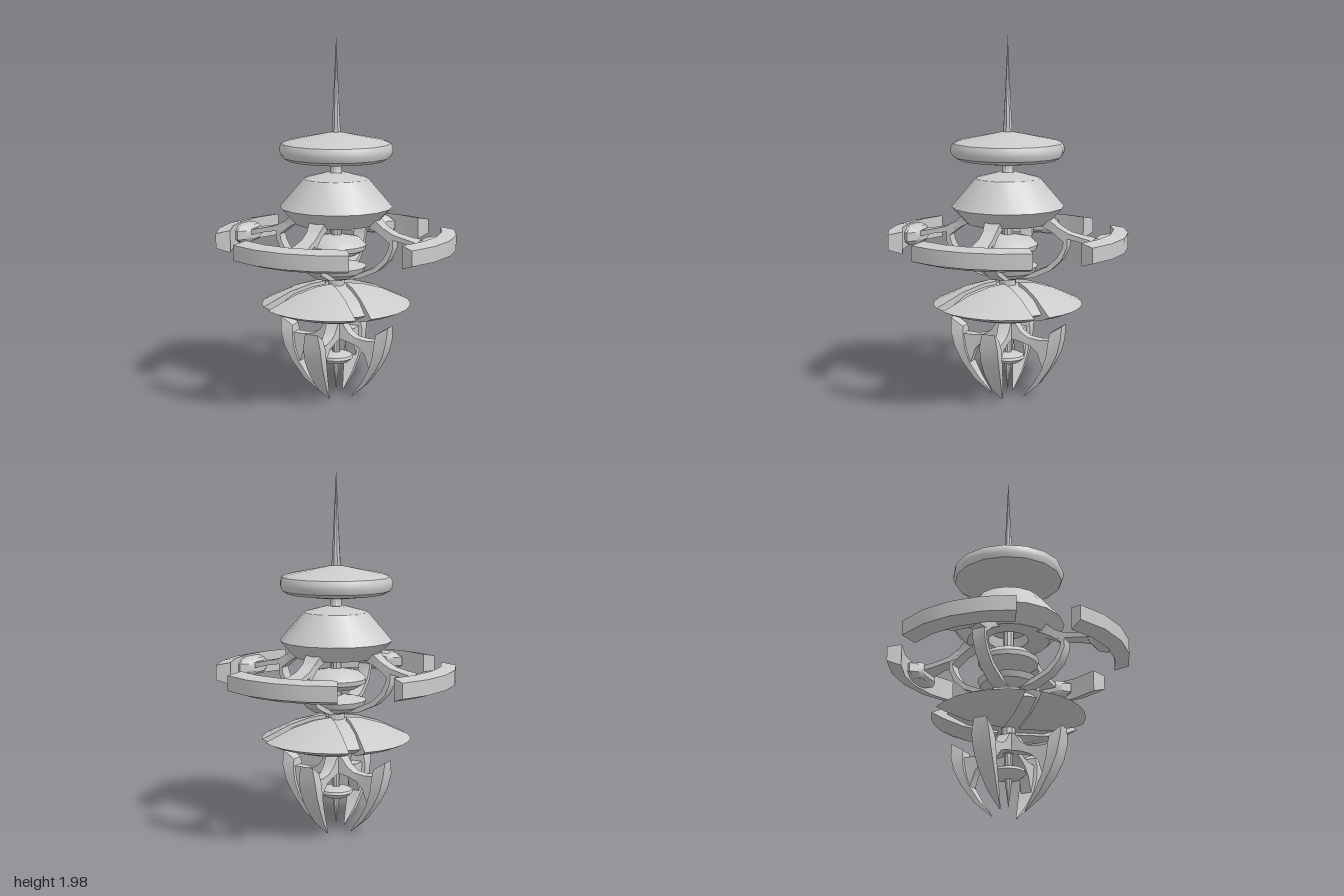
import * as THREE from 'three';
import { toCreasedNormals } from 'three/addons/utils/BufferGeometryUtils.js';

const material = new THREE.MeshStandardMaterial({ color: 0xcccccc, side: THREE.DoubleSide });

function addMesh(parent, name, geometry, crease = 0.5) {
  const mesh = new THREE.Mesh(toCreasedNormals(geometry, crease), material);
  mesh.name = name;
  parent.add(mesh);
  return mesh;
}

// Turned part; profile runs bottom to top as [radius, height]
function turned(parent, name, profile, sides = 16, crease = 0.5) {
  const points = profile.map(([r, y]) => new THREE.Vector2(r, y));
  return addMesh(parent, name, new THREE.LatheGeometry(points, sides), crease);
}

// Solid skinned through closed rings of [x, y, z], capped at both ends
function loft(rings) {
  const n = rings[0].length, pos = rings.flat(2), index = [];
  rings.slice(1).forEach((_, k) => {
    for (let i = 0; i < n; i++) {
      const a = k * n + i, b = k * n + (i + 1) % n;
      index.push(a, b, b + n, a, b + n, a + n);
    }
  });
  const last = (rings.length - 1) * n;
  for (let i = 1; i < n - 1; i++) {
    index.push(0, i + 1, i, last, last + i, last + i + 1);
  }
  // Flip the winding if the solid is inside out
  const v = (i) => new THREE.Vector3().fromArray(pos, i * 3);
  let volume = 0;
  for (let i = 0; i < index.length; i += 3) {
    volume += v(index[i]).dot(v(index[i + 1]).cross(v(index[i + 2])));
  }
  if (volume < 0) index.reverse();
  const g = new THREE.BufferGeometry();
  g.setAttribute('position', new THREE.Float32BufferAttribute(pos, 3));
  g.setIndex(index);
  g.computeVertexNormals();
  return g;
}

// Beam in the x-y plane; stations are [outerX, outerY, innerX, innerY, halfWidth]
const beam = (stations) => loft(stations.map(([ox, oy, ix, iy, w]) =>
  [[ox, oy, -w], [ox, oy, w], [ix, iy, w], [ix, iy, -w]]));

// Profile of [radius, height] swept around y, with a half angle for each radius
const sweep = (profile, steps, halfAngle) => {
  const rings = [];
  for (let i = 0; i <= steps; i++) {
    const t = i / steps * 2 - 1;
    rings.push(profile.map(([r, y]) => {
      const a = t * halfAngle(r);
      return [r * Math.cos(a), y, r * Math.sin(a)];
    }));
  }
  return loft(rings);
};

// Everything that repeats in each of the four directions, built towards +x
function createQuarter() {
  const q = new THREE.Group();

  // Outer ring segment and the mount behind it
  addMesh(q, 'ringSegment', sweep(
    [[0.652, 0.848], [0.652, 0.93], [0.574, 0.945], [0.574, 0.823]], 4, () => Math.PI / 6), 0.3);
  addMesh(q, 'segmentMount', loft([
    [0.49, 0.065, 0.03], [0.505, 0.09, 0.045], [0.54, 0.13, 0.05], [0.575, 0.105, 0.05],
  ].map(([x, w, h]) => [[-1, -0.5], [-0.6, -1], [0.6, -1], [1, -0.5], [1, 0.5], [0.6, 1], [-0.6, 1], [-1, 0.5]]
    .map(([z, y]) => [x, 0.885 + y * h, z * w]))), 0.6);

  // Arm out to the ring
  addMesh(q, 'ringArm', beam([
    [0.27, 0.985, 0.30, 0.92, 0.036], [0.35, 0.942, 0.35, 0.912, 0.038],
    [0.42, 0.925, 0.42, 0.9, 0.042], [0.49, 0.912, 0.49, 0.882, 0.056], [0.525, 0.905, 0.525, 0.875, 0.05],
  ]));

  // Curved rib from the upper hull round to the lower core
  addMesh(q, 'curvedRib', beam([
    [0.22, 1.05, 0.14, 1.01, 0.06], [0.24, 1.02, 0.18, 0.985, 0.045], [0.3, 0.965, 0.26, 0.945, 0.036],
    [0.345, 0.92, 0.325, 0.895, 0.035], [0.345, 0.865, 0.318, 0.86, 0.035],
    [0.315, 0.795, 0.288, 0.805, 0.035], [0.255, 0.735, 0.235, 0.755, 0.035],
    [0.16, 0.69, 0.15, 0.715, 0.038], [0.02, 0.665, 0.02, 0.695, 0.04],
  ]));

  // Skirt petal, separated from its neighbours by parallel gaps
  addMesh(q, 'skirtPetal', sweep(
    [[0.062, 0.65], [0.14, 0.64], [0.255, 0.605], [0.408, 0.532], [0.36, 0.51], [0.24, 0.475], [0.062, 0.46]],
    6, (r) => Math.PI / 4 - Math.asin(0.042 / r)), 0.35);

  // Claw and the forked bracket that holds it
  addMesh(q, 'claw', beam([
    [0.32, 0.43, 0.25, 0.385, 0.036], [0.315, 0.35, 0.245, 0.33, 0.05], [0.295, 0.27, 0.235, 0.26, 0.05],
    [0.255, 0.19, 0.21, 0.185, 0.044], [0.185, 0.09, 0.16, 0.1, 0.028], [0.095, 0.01, 0.093, 0.014, 0.003],
  ]));
  addMesh(q, 'clawBracket', beam([
    [0.02, 0.44, 0.02, 0.335, 0.035], [0.055, 0.425, 0.05, 0.335, 0.035], [0.085, 0.38, 0.09, 0.325, 0.032],
    [0.125, 0.352, 0.14, 0.305, 0.028], [0.185, 0.342, 0.18, 0.265, 0.028], [0.255, 0.345, 0.215, 0.165, 0.03],
  ]));
  return q;
}

export function createModel() {
  const model = new THREE.Group();
  model.name = 'station';

  // Spire, top disc and neck
  turned(model, 'spire', [[0.026, 1.46], [0.013, 1.72], [0, 1.985]], 8);
  turned(model, 'topDisc', [
    [0, 1.29], [0.04, 1.292], [0.265, 1.322], [0.295, 1.34], [0.306, 1.365], [0.306, 1.39],
    [0.295, 1.413], [0.265, 1.425], [0.03, 1.472], [0, 1.474],
  ], 16, 0.6);
  turned(model, 'neck', [[0.04, 1.24], [0.03, 1.26], [0.03, 1.3]], 12);

  // Bell-shaped upper hull with a recess underneath
  turned(model, 'upperHull', [
    [0, 1.04], [0.1, 1.04], [0.11, 0.985], [0.225, 0.98], [0.306, 1.068], [0.175, 1.222], [0.05, 1.255], [0, 1.255],
  ], 16, 0.4);

  // Central core
  turned(model, 'coreShaft', [[0.03, 0.45], [0.03, 1.05]], 10);
  turned(model, 'upperCoreDisc', [
    [0.03, 0.79], [0.11, 0.805], [0.16, 0.835], [0.165, 0.86], [0.13, 0.895], [0.03, 0.915],
  ], 16, 0.8);
  turned(model, 'lowerCoreDisc', [
    [0.03, 0.675], [0.1, 0.682], [0.15, 0.71], [0.165, 0.742], [0.13, 0.75], [0.03, 0.765],
  ], 16, 0.6);
  turned(model, 'coreCollar', [[0.045, 0.635], [0.045, 0.675], [0.03, 0.685]], 12);

  // Recessed shell visible between the petals
  turned(model, 'innerSkirt', [
    [0.03, 0.47], [0.22, 0.485], [0.33, 0.53], [0.24, 0.59], [0.13, 0.622], [0.03, 0.635],
  ], 16, 0.4);

  // Lower shaft, bulb and spike
  turned(model, 'lowerShaft', [[0.02, 0.22], [0.022, 0.33], [0.04, 0.35], [0.04, 0.47]], 10);
  turned(model, 'lowerBulb', [
    [0.02, 0.19], [0.065, 0.2], [0.095, 0.225], [0.09, 0.24], [0.06, 0.252], [0.02, 0.256],
  ], 12, 0.8);
  turned(model, 'lowerSpike', [[0, 0.04], [0.022, 0.2]], 8);

  for (let i = 0; i < 4; i++) {
    const quarter = createQuarter();
    quarter.name = 'quarter' + (i + 1);
    quarter.rotation.y = i * Math.PI / 2;
    model.add(quarter);
  }
  return model;
}
